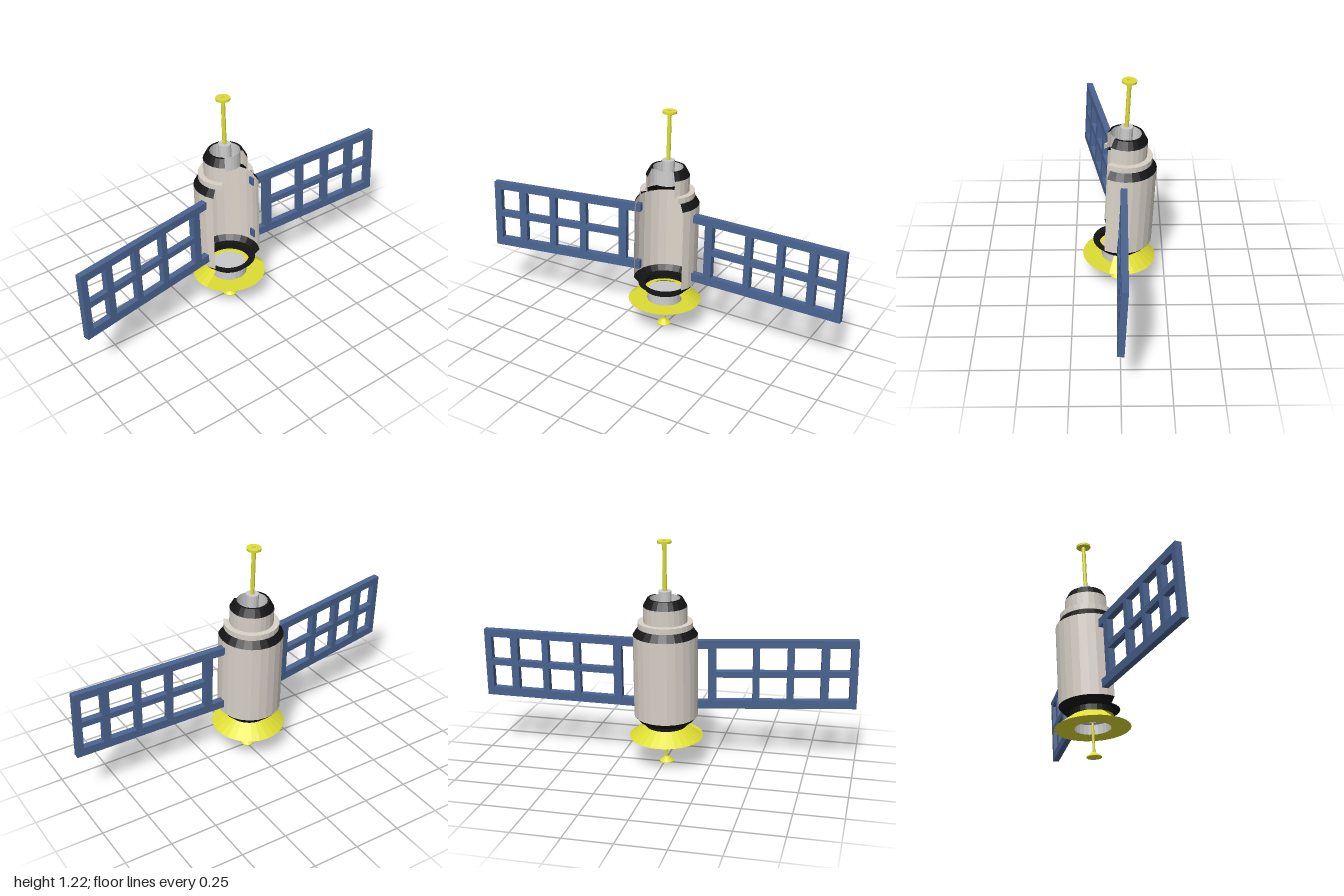
import * as THREE from 'three';

const mat = (color) => new THREE.MeshStandardMaterial({ color, flatShading: true, side: THREE.DoubleSide });
const HULL = mat(0xd9d2c8), GREY = mat(0xcccccc), BLACK = mat(0x141414), YELLOW = mat(0xdede33), BLUE = mat(0x4a6491);
const RAD = Math.PI / 180;

export function createModel() {
  const model = new THREE.Group();
  model.name = 'satellite';

  // Everything leans slightly backwards about the foot of the lower aerial
  const lean = new THREE.Group();
  lean.name = 'leaningCraft';
  lean.position.z = 0.01;
  lean.rotation.x = -0.05;
  model.add(lean);

  const core = new THREE.Group();
  core.name = 'core';
  core.position.x = -0.01;
  lean.add(core);

  // Turned shell from [radius, height] points; from/to are degrees measured from the front
  const turned = (name, material, points, from = 0, to = 360, sides = 24) => {
    const geo = new THREE.LatheGeometry(points.map(([r, y]) => new THREE.Vector2(r, y)),
      sides, from * RAD, (to - from) * RAD);
    const mesh = new THREE.Mesh(geo, material);
    mesh.name = name;
    core.add(mesh);
  };

  // Main hull, open at the front
  turned('hull', HULL, [[0.17, 0.28], [0.17, 0.727]], 60, 300, 16);
  turned('lowerBand', BLACK, [[0.145, 0.252], [0.17, 0.28]], 60, 300, 16);
  turned('shoulderBand', BLACK, [[0.17, 0.727], [0.142, 0.767]], 58, 302, 16);
  turned('hullFloor', BLACK, [[0.11, 0.252], [0.145, 0.252]]);

  // Upper collar and cap with a notch at the front
  turned('collar', HULL, [[0.142, 0.767], [0.145, 0.767], [0.145, 0.797], [0.115, 0.797]], 52, 318, 18);
  turned('cap', HULL, [[0.115, 0.79], [0.115, 0.88]], 48, 324, 18);
  turned('capRim', BLACK, [[0.115, 0.88], [0.092, 0.922], [0.08, 0.922]], 48, 324, 18);
  turned('capCup', GREY, [[0, 0.84], [0.08, 0.84], [0.08, 0.922]]);

  // Upper aerial
  turned('aerialSocket', GREY, [[0.034, 0.84], [0.034, 0.96], [0, 0.96]], 0, 360, 16);
  turned('upperRod', YELLOW, [[0.011, 0.95], [0.011, 1.212]], 0, 360, 8);
  turned('upperDish', YELLOW, [[0, 1.21], [0.038, 1.21], [0.038, 1.222], [0.01, 1.222], [0.01, 1.217], [0, 1.217]], 0, 360, 16);

  // Lower neck, flared skirt and its flat base ring
  turned('neck', BLACK, [[0.112, 0.22], [0.112, 0.252]]);
  turned('skirtTop', YELLOW, [[0.09, 0.22], [0.112, 0.22]]);
  turned('skirt', YELLOW, [[0.197, 0.159], [0.112, 0.22]], 74, 286, 16);
  turned('skirtBase', YELLOW, [[0.095, 0.159], [0.197, 0.159]]);
  turned('engineRing', GREY, [[0.095, 0.159], [0.095, 0.212], [0, 0.212]]);

  // Lower aerial
  turned('lowerSocket', GREY, [[0, 0.185], [0.018, 0.185], [0.018, 0.212]], 0, 360, 12);
  turned('lowerRod', YELLOW, [[0.007, 0.03], [0.007, 0.2]], 0, 360, 8);
  turned('lowerDish', YELLOW, [[0, 0.005], [0.039, 0.005], [0.039, 0.009], [0.009, 0.032], [0, 0.032]], 0, 360, 16);

  // Panel frame: two rows of four windows, with a fork reaching the hull
  const corners = (x0, x1, y0, y1) => [[x0, y0], [x1, y0], [x1, y1], [x0, y1]].map(([x, y]) => new THREE.Vector2(x, y));
  const outline = [[0.15, 0.315], [1, 0.315], [1, 0.693], [0.15, 0.693], [0.15, 0.65], [0.228, 0.65], [0.228, 0.36], [0.15, 0.36]];
  const frame = new THREE.Shape(outline.map(([x, y]) => new THREE.Vector2(x, y)));
  for (const [x0, x1] of [[0.272, 0.46], [0.495, 0.638], [0.673, 0.812], [0.853, 0.962]]) {
    for (const [y0, y1] of [[0.362, 0.49], [0.523, 0.652]]) {
      frame.holes.push(new THREE.Path(corners(x0, x1, y0, y1)));
    }
  }
  const panelGeo = new THREE.ExtrudeGeometry(frame, { depth: 0.034, bevelEnabled: false });
  panelGeo.translate(0, 0, -0.017);
  for (const [name, turn, stretch] of [['leftPanel', -0.008, 1], ['rightPanel', Math.PI + 0.192, 1.015]]) {
    const panel = new THREE.Mesh(panelGeo, BLUE);
    panel.name = name;
    panel.rotation.y = turn;
    panel.scale.x = stretch;
    lean.add(panel);
  }

  return model;
}
